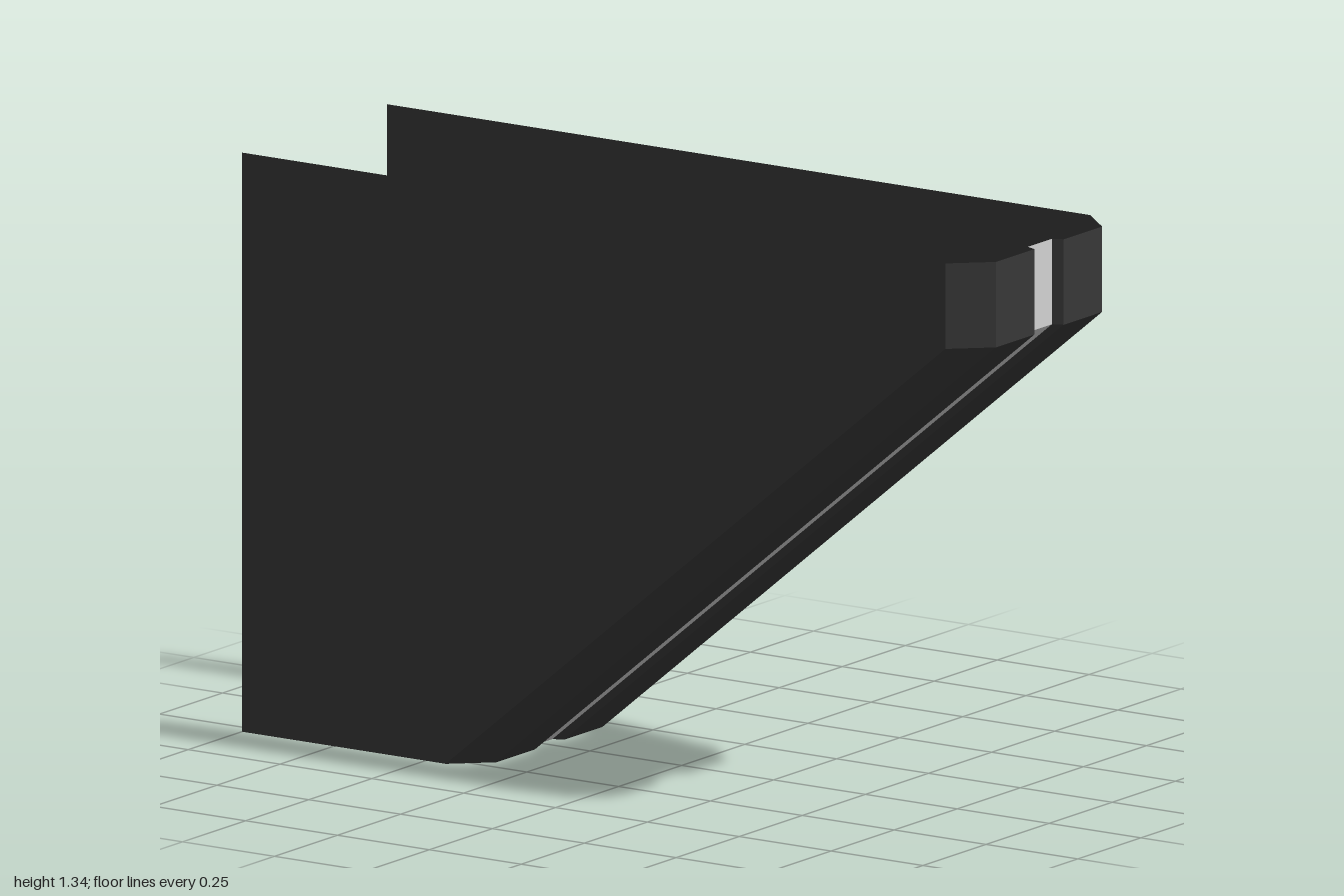
import * as THREE from 'three';

export function createModel() {
  const dark = new THREE.MeshStandardMaterial({ color: 0x373737, side: THREE.DoubleSide });
  dark.name = 'charcoal';
  const light = new THREE.MeshStandardMaterial({ color: 0xd2d2d2, side: THREE.DoubleSide });
  light.name = 'light grey';

  const H = 1.335, KNEE = 1.138, HALF = 0.287;
  // Outline of the outer edge, x and y: foot of the slope, knee, top
  const path = [[-0.36, 0], [1, KNEE], [1, H]];
  const group = new THREE.Group();

  function add(name, geometry, material) {
    const mesh = new THREE.Mesh(geometry, material);
    mesh.name = name;
    group.add(mesh);
  }

  // Sweep a cross-section of [z, inset] points along the edge path, flat faced
  function sweep(section) {
    const pos = [];
    const point = (p, s) => [p[0] - s[1], p[1], s[0]];
    for (let i = 0; i < path.length - 1; i++) {
      for (let j = 0; j < section.length - 1; j++) {
        const a = point(path[i], section[j]), b = point(path[i], section[j + 1]);
        const c = point(path[i + 1], section[j + 1]), d = point(path[i + 1], section[j]);
        pos.push(...a, ...b, ...c, ...a, ...c, ...d);
      }
    }
    const g = new THREE.BufferGeometry();
    g.setAttribute('position', new THREE.Float32BufferAttribute(pos, 3));
    g.computeVertexNormals();
    return g;
  }

  // Thin side panels
  const inset = 0.085;
  const panel = new THREE.Shape([
    [-1, 0], ...path.map(([x, y]) => [x - inset, y]), [-1, H],
  ].map(([x, y]) => new THREE.Vector2(x, y)));
  for (const side of [1, -1]) {
    const name = side > 0 ? 'front' : 'back';
    const g = new THREE.ShapeGeometry(panel);
    if (side < 0) g.rotateY(Math.PI).scale(-1, 1, 1);
    // Mirroring reverses the corner order, so restore it and face outwards
    if (side < 0) {
      const idx = g.index.array;
      for (let i = 0; i < idx.length; i += 3) [idx[i], idx[i + 1]] = [idx[i + 1], idx[i]];
      g.computeVertexNormals();
      const n = g.attributes.normal;
      if (n.getZ(0) > 0) {
        for (let i = 0; i < idx.length; i += 3) [idx[i], idx[i + 1]] = [idx[i + 1], idx[i]];
        g.computeVertexNormals();
      }
    }
    g.translate(0, 0, side * HALF);
    add(name + 'SidePanel', g, dark);

    // Chamfer, edge face and groove wall
    const section = [[HALF, inset], [0.21, 0], [0.058, 0], [0.048, 0.025]]
      .map(([z, dx]) => [z * side, dx]);
    if (side < 0) section.reverse();
    add(name + 'Edge', sweep(section), dark);
  }

  // Pale strip at the bottom of the groove
  add('centreStrip', sweep([[0.048, 0.025], [-0.048, 0.025]]), light);
  return group;
}
